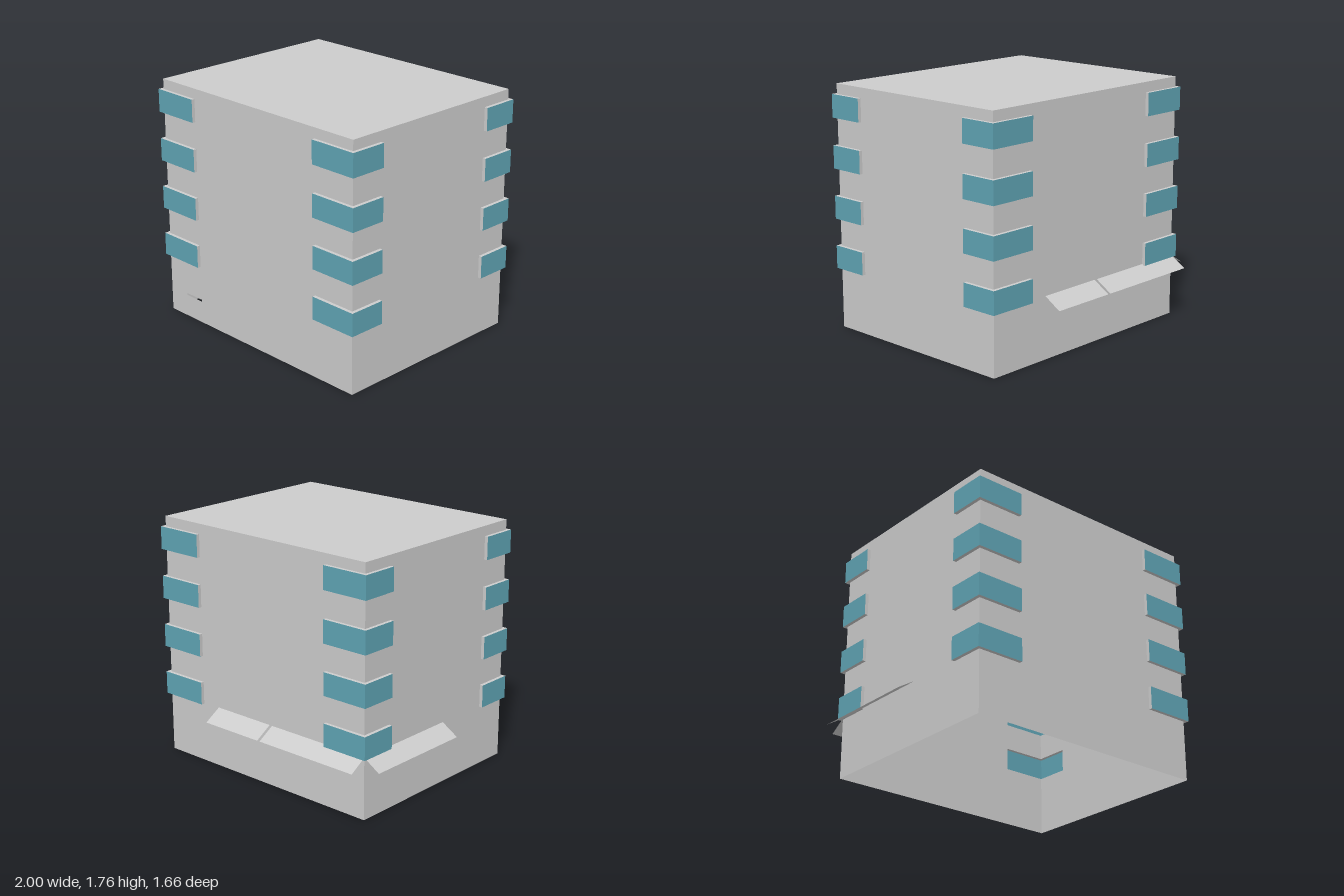
import * as THREE from 'three';

const grey = new THREE.MeshStandardMaterial({ color: 0xcccccc, side: THREE.DoubleSide });
const blue = new THREE.MeshStandardMaterial({ color: 0x5fa3b3, side: THREE.DoubleSide });

// Tower extents and window layout
const X0 = -0.875, X1 = 0.975, Z0 = -0.705, Z1 = 0.805, H = 1.765;
const WX0 = -0.54, WX1 = 0.635, WZ0 = -0.455, WZ1 = 0.555;
const OUT = 0.025, WIN_H = 0.166;
const levels = [0, 1, 2, 3].map((i) => 0.439 + i * 0.362);

// Flat four-cornered panel, wound so that it faces the given direction
function quad(name, corners, facing, material) {
  const [a, b, c, d] = corners.map((p) => new THREE.Vector3(...p));
  const n = b.clone().sub(a).cross(c.clone().sub(a));
  const pts = n.dot(new THREE.Vector3(...facing)) < 0 ? [a, d, c, b] : [a, b, c, d];
  const g = new THREE.BufferGeometry().setFromPoints(pts);
  g.setIndex([0, 1, 2, 0, 2, 3]);
  g.computeVertexNormals();
  const mesh = new THREE.Mesh(g, material);
  mesh.name = name;
  return mesh;
}

// Thin wall from a0 to a1, notched at both edges for the corner windows
function wall(name, a0, a1, n0, n1, angle, offset, hole) {
  const s = new THREE.Shape();
  s.moveTo(a0, 0);
  s.lineTo(a1, 0);
  const notch = (edge, inner, from, to) => {
    s.lineTo(edge, from);
    s.lineTo(inner, from);
    s.lineTo(inner, to);
    s.lineTo(edge, to);
  };
  for (const y of levels) notch(a1, n1, y, y + WIN_H);
  s.lineTo(a1, H);
  s.lineTo(a0, H);
  for (const y of [...levels].reverse()) notch(a0, n0, y + WIN_H, y);
  if (hole) s.holes.push(hole);
  const mesh = new THREE.Mesh(
    new THREE.ShapeGeometry(s).translate(0, 0, offset).rotateY(angle), grey);
  mesh.name = name;
  return mesh;
}

// Projecting window wrapping round one corner of the tower
function cornerWindow(sx, sz, y) {
  const g = new THREE.Group();
  g.name = 'cornerWindow';
  const wx = sx > 0 ? X1 : X0, wz = sz > 0 ? Z1 : Z0;
  const ex = sx > 0 ? WX1 : WX0, ez = sz > 0 ? WZ1 : WZ0;
  const ox = wx + sx * OUT, oz = wz + sz * OUT, t = y + WIN_H;
  const upright = (name, xa, za, xb, zb, facing, m) => g.add(quad(name,
    [[xa, y, za], [xb, y, zb], [xb, t, zb], [xa, t, za]], facing, m));
  upright('windowPane', ex, oz, ox, oz, [0, 0, sz], blue);
  upright('windowPane', ox, ez, ox, oz, [sx, 0, 0], blue);
  upright('windowEnd', ex, wz, ex, oz, [-sx, 0, 0], grey);
  upright('windowEnd', wx, ez, ox, ez, [0, 0, -sz], grey);
  for (const [h, up] of [[y, -1], [t, 1]]) {
    g.add(quad('windowLedge', [[ex, h, wz], [ox, h, wz], [ox, h, oz], [ex, h, oz]], [0, up, 0], grey));
    g.add(quad('windowLedge', [[wx, h, ez], [ox, h, ez], [ox, h, wz], [wx, h, wz]], [0, up, 0], grey));
  }
  return g;
}

export function createModel() {
  const model = new THREE.Group();
  model.name = 'tower';

  // Mail slot in the front wall
  const slot = new THREE.Path();
  slot.moveTo(-0.705, 0.165);
  slot.lineTo(-0.705, 0.18);
  slot.lineTo(-0.54, 0.18);
  slot.lineTo(-0.54, 0.165);
  slot.closePath();

  // Four walls and the roof; the bottom is open
  model.add(
    wall('frontWall', X0, X1, WX0, WX1, 0, Z1, slot),
    wall('backWall', -X1, -X0, -WX1, -WX0, Math.PI, -Z0),
    wall('leftWall', -Z1, -Z0, -WZ1, -WZ0, Math.PI / 2, X1),
    wall('rightWall', Z0, Z1, WZ0, WZ1, -Math.PI / 2, -X0),
    quad('roof', [[X0, H, Z0], [X1, H, Z0], [X1, H, Z1], [X0, H, Z1]], [0, 1, 0], grey));

  for (const sx of [-1, 1])
    for (const sz of [-1, 1])
      for (const y of levels) model.add(cornerWindow(sx, sz, y));

  // Thin sloping awnings on the back and right walls
  const top = 0.448, low = 0.37, reach = 0.125;
  for (const [a, b] of [[X0, -0.04], [-0.018, 0.485]])
    model.add(quad('backAwning',
      [[a, top, Z0], [b, top, Z0], [b, low, Z0 - reach], [a, low, Z0 - reach]], [0, 1, 0], grey));
  model.add(quad('sideAwning',
    [[X0, top, Z0], [X0, top, 0.13], [X0 - reach, low, 0.13], [X0 - reach, low, Z0]], [0, 1, 0], grey));

  return model;
}
